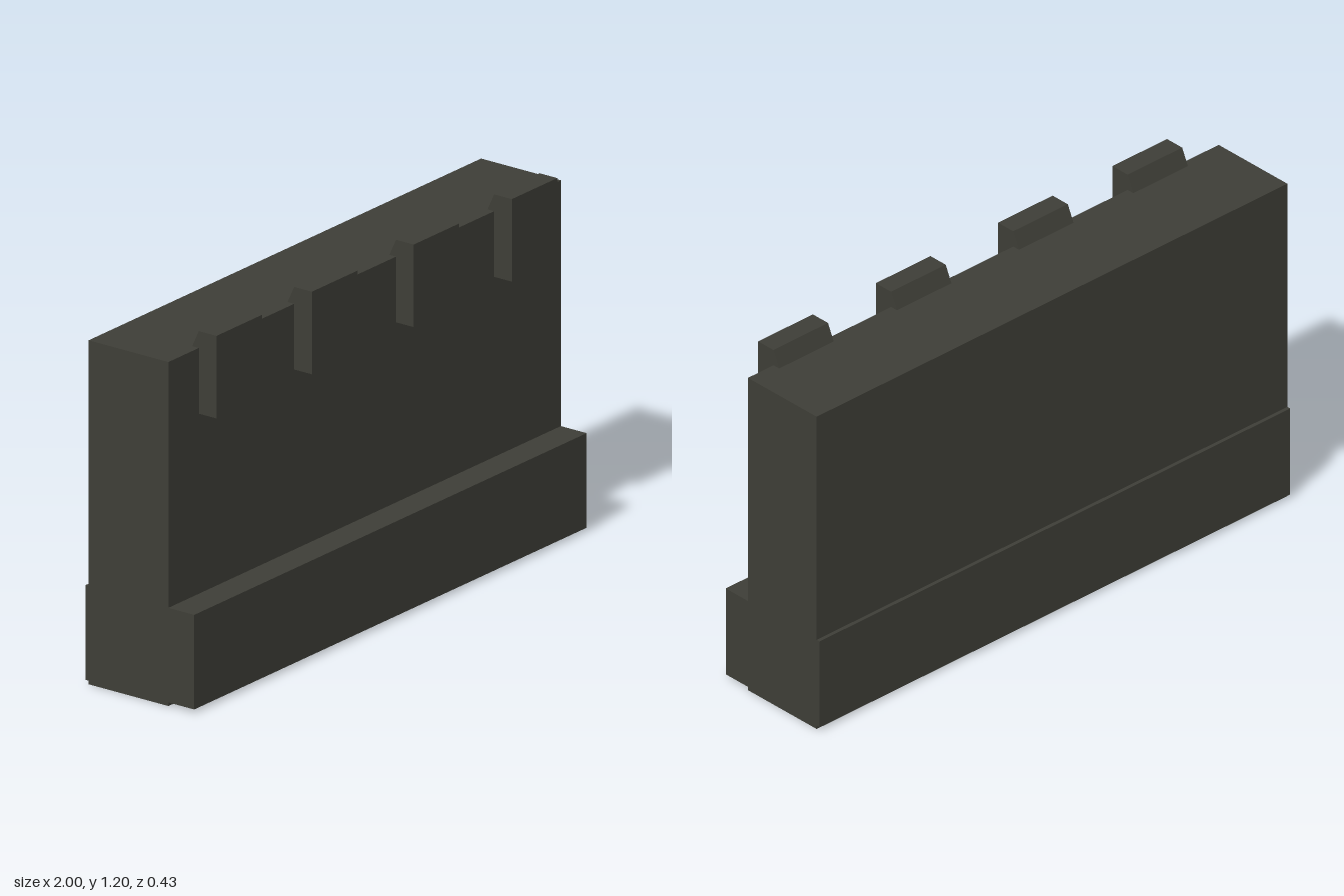
import * as THREE from 'three';

// Box spanning y0..y1 and z0..z1 over the full length, without the listed faces
// (face order: +x, -x, +y, -y, +z, -z)
function openBox(name, y0, y1, z0, z1, omit, material) {
  const geometry = new THREE.BoxGeometry(2, y1 - y0, z1 - z0);
  const index = Array.from(geometry.index.array);
  geometry.setIndex(index.filter((_, i) => !omit.includes(Math.floor(i / 6))));
  geometry.clearGroups();
  geometry.translate(0, (y0 + y1) / 2, (z0 + z1) / 2);
  const mesh = new THREE.Mesh(geometry, material);
  mesh.name = name;
  return mesh;
}

export function createModel() {
  const group = new THREE.Group();
  group.name = 'parapetWall';
  const stone = new THREE.MeshStandardMaterial({ color: 0x3e3e37, side: THREE.DoubleSide });
  stone.name = 'darkStone';

  // Hollow wall, open underneath
  group.add(openBox('wall', 0, 1.142, -0.2, 0.112, [3], stone));

  // Plinth ledges, open underneath and against the wall
  group.add(openBox('frontPlinth', 0.012, 0.326, 0.112, 0.213, [3, 5], stone));
  group.add(openBox('backPlinth', 0.012, 0.326, -0.213, -0.2, [3, 4], stone));

  // Blocks hooked over the top front edge, with a sloping back
  const profile = new THREE.Shape([
    [0.181, 0.924], [0.181, 1.198], [0.112, 1.198], [0.086, 1.142], [0.112, 1.1], [0.112, 0.924],
  ].map(([z, y]) => new THREE.Vector2(-z, y)));
  const width = 0.232;
  const block = new THREE.ExtrudeGeometry(profile, { depth: width, bevelEnabled: false });
  block.translate(0, 0, -width / 2);
  block.rotateY(Math.PI / 2);
  for (const x of [-0.729, -0.243, 0.276, 0.776]) {
    const mesh = new THREE.Mesh(block, stone);
    mesh.name = 'topBlock';
    mesh.position.x = x;
    group.add(mesh);
  }
  return group;
}
